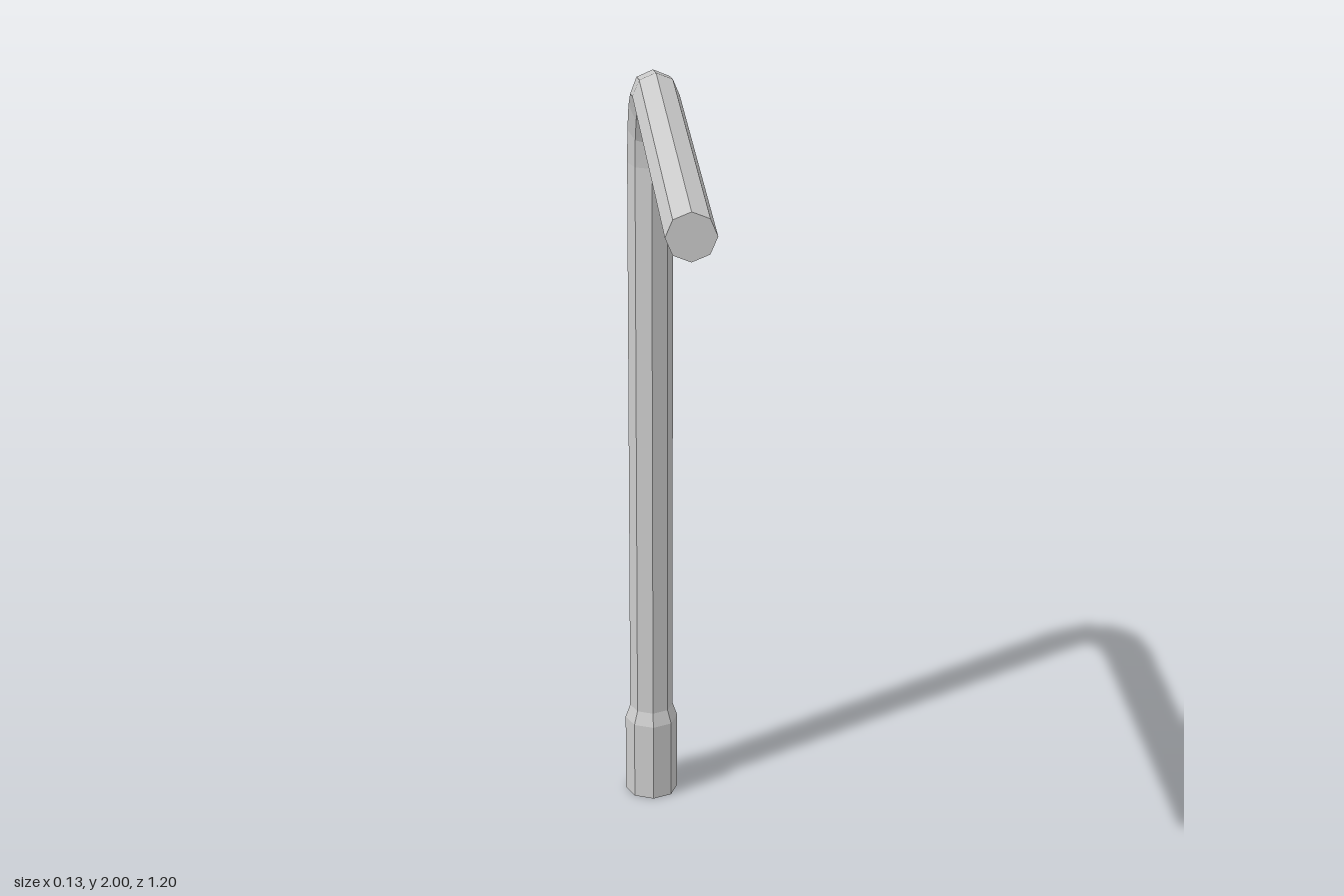
import * as THREE from 'three';

const SIDES = 8;
const R = 0.055;           // bar radius
const SOCKET_R = 0.067;    // socket radius
const BACK = -0.533;       // z of the upright
const BEND_Y = 1.72;       // where the bend starts
const TOP_Y = 1.945;       // height of the arm's axis
const BEND_Z = -0.343;     // where the bend ends
const FRONT = 0.6;         // free end of the arm

const material = new THREE.MeshStandardMaterial({
  color: 0xcccccc, flatShading: true, side: THREE.DoubleSide,
});

// Skin a row of octagonal rings; tilt 0 points the path up, PI/2 forward
function loft(name, rings) {
  const positions = [];
  const index = [];
  rings.forEach(({ y, z, r, tilt = 0 }, i) => {
    for (let j = 0; j < SIDES; j++) {
      const a = (j / SIDES) * Math.PI * 2;
      const out = r * Math.cos(a);
      positions.push(-r * Math.sin(a), y + out * Math.sin(tilt), z - out * Math.cos(tilt));
      if (i === rings.length - 1) continue;
      const k = (j + 1) % SIDES;
      const lo = i * SIDES;
      const hi = lo + SIDES;
      index.push(lo + j, lo + k, hi + k, lo + j, hi + k, hi + j);
    }
  });
  const geometry = new THREE.BufferGeometry();
  geometry.setAttribute('position', new THREE.Float32BufferAttribute(positions, 3));
  geometry.setIndex(index);
  geometry.computeVertexNormals();
  const mesh = new THREE.Mesh(geometry, material);
  mesh.name = name;
  return mesh;
}

export function createModel() {
  const group = new THREE.Group();
  group.name = 'bentSocketWrench';

  // Wider socket, open below, tapering into the shaft
  group.add(loft('socket', [
    { y: 0, z: BACK, r: SOCKET_R },
    { y: 0.21, z: BACK, r: SOCKET_R },
    { y: 0.245, z: BACK, r: R },
  ]));

  // Upright shaft
  group.add(loft('shaft', [
    { y: 0.245, z: BACK, r: R },
    { y: BEND_Y, z: BACK, r: R },
  ]));

  // Quarter bend in four steps
  const bend = [];
  for (let i = 0; i <= 4; i++) {
    const tilt = (i / 4) * Math.PI / 2;
    bend.push({
      y: BEND_Y + (TOP_Y - BEND_Y) * Math.sin(tilt),
      z: BACK + (BEND_Z - BACK) * (1 - Math.cos(tilt)),
      r: R,
      tilt,
    });
  }
  group.add(loft('bend', bend));

  // Horizontal arm and its closed end
  group.add(loft('arm', [
    { y: TOP_Y, z: BEND_Z, r: R, tilt: Math.PI / 2 },
    { y: TOP_Y, z: FRONT, r: R, tilt: Math.PI / 2 },
  ]));
  const cap = new THREE.Mesh(new THREE.CircleGeometry(R, SIDES), material);
  cap.name = 'armEndCap';
  cap.position.set(0, TOP_Y, FRONT);
  group.add(cap);

  return group;
}
